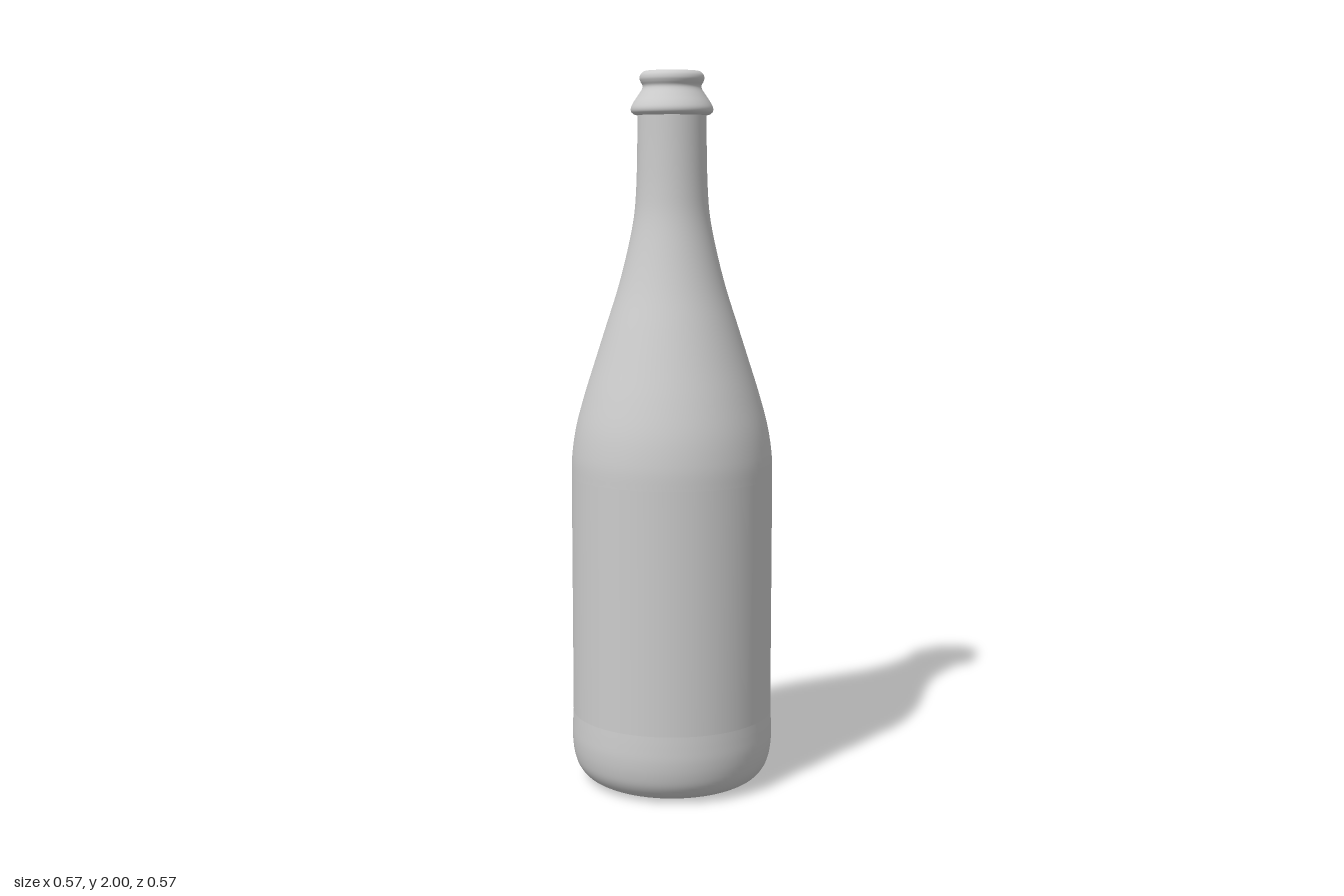
import * as THREE from 'three';

const SEGMENTS = 72;
const material = new THREE.MeshStandardMaterial({ color: 0xcccccc, roughness: 0.6 });
const toPoints = (pairs) => pairs.map(([r, y]) => new THREE.Vector2(r, y));

// Smooth profile through [radius, height] pairs
const smooth = (pairs, steps) => new THREE.SplineCurve(toPoints(pairs)).getPoints(steps);

function revolve(name, points) {
  const mesh = new THREE.Mesh(new THREE.LatheGeometry(points, SEGMENTS), material);
  mesh.name = name;
  return mesh;
}

export function createModel() {
  const bottle = new THREE.Group();
  bottle.name = 'bottle';

  // Flat underside
  bottle.add(revolve('base', toPoints([[0, 0], [0.2, 0]])));

  // Rounded heel with a slight bulge where it meets the body
  bottle.add(revolve('heel', smooth([
    [0.2, 0], [0.225, 0.006], [0.252, 0.022], [0.272, 0.05], [0.282, 0.085],
    [0.286, 0.125], [0.285, 0.165], [0.283, 0.2],
  ], 32)));

  // Straight body
  bottle.add(revolve('body', toPoints([[0.283, 0.2], [0.283, 0.55], [0.283, 0.88]])));

  // Long sloping shoulder running into the neck
  bottle.add(revolve('shoulder', smooth([
    [0.283, 0.88], [0.281, 0.94], [0.269, 1.02], [0.245, 1.11], [0.215, 1.205],
    [0.183, 1.305], [0.151, 1.405], [0.125, 1.505], [0.106, 1.6], [0.099, 1.68],
    [0.096, 1.78], [0.095, 1.885],
  ], 60)));

  // Collar ring and rolled lip
  bottle.add(revolve('collarUnderside', toPoints([[0.094, 1.88], [0.104, 1.882]])));
  bottle.add(revolve('collar', smooth([
    [0.104, 1.882], [0.112, 1.889], [0.113, 1.9], [0.106, 1.915], [0.094, 1.933],
    [0.083, 1.95], [0.081, 1.96], [0.086, 1.97], [0.089, 1.98], [0.086, 1.991],
    [0.076, 1.999], [0.066, 1.999], [0.057, 1.993], [0.053, 1.982], [0.052, 1.965],
  ], 70)));

  // Bore and inner wall down to the inner floor
  bottle.add(revolve('innerWall', smooth([
    [0.052, 1.965], [0.055, 1.92], [0.07, 1.85], [0.077, 1.7], [0.087, 1.6],
    [0.131, 1.405], [0.195, 1.205], [0.248, 1.02], [0.263, 0.88], [0.263, 0.5],
    [0.263, 0.15], [0.24, 0.05], [0.19, 0.025],
  ], 70)));
  bottle.add(revolve('innerFloor', toPoints([[0.19, 0.025], [0, 0.025]])));

  return bottle;
}
